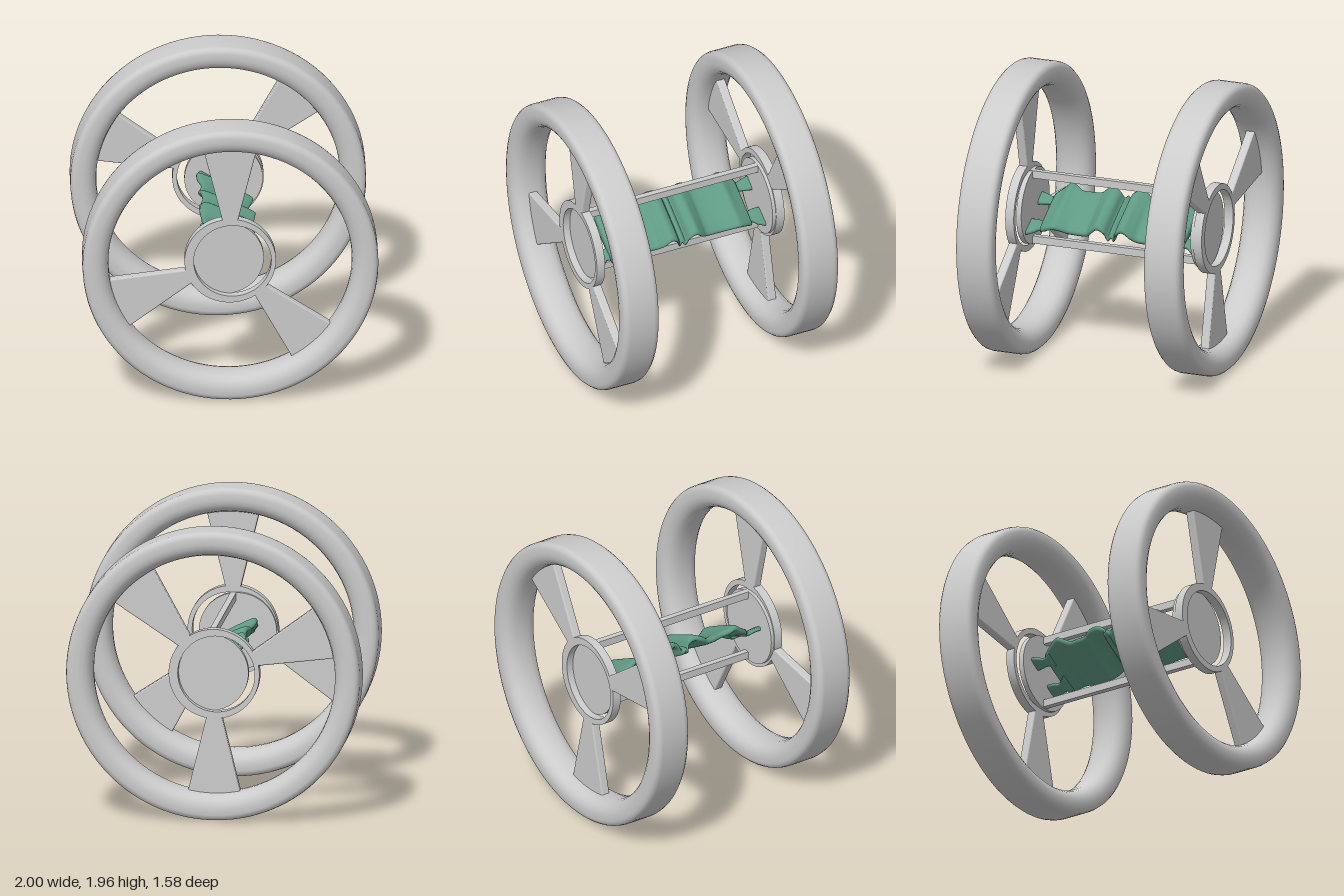
import * as THREE from 'three';

const grey = new THREE.MeshStandardMaterial({ color: 0xcccccc });
const green = new THREE.MeshStandardMaterial({ color: 0x5f9a84 });
const HUB_Y = 0.98;

function add(parent, name, geometry, material = grey) {
  const mesh = new THREE.Mesh(geometry, material);
  mesh.name = name;
  parent.add(mesh);
  return mesh;
}

// Tyre: flat tread, softly rounded shoulders, rounder inner edge
function tyreGeometry() {
  const half = [[0.98, 0], [0.98, 0.085], [0.975, 0.107], [0.962, 0.122], [0.94, 0.13], [0.9, 0.13],
    [0.87, 0.124], [0.842, 0.108], [0.822, 0.083], [0.81, 0.048], [0.806, 0]];
  const back = half.slice(0, -1).reverse().map(([r, z]) => [r, -z]);
  const points = [...half, ...back].map(([r, z]) => new THREE.Vector2(r, z));
  return new THREE.LatheGeometry(points, 96).rotateX(Math.PI / 2);
}

// Wedge spoke with softened edges, pointing along +x
function spokeGeometry(outerHalf) {
  const b = 0.01;
  const s = new THREE.Shape();
  s.moveTo(0.28, -0.048 + b);
  s.lineTo(0.815, -outerHalf + b);
  s.lineTo(0.815, outerHalf - b);
  s.lineTo(0.28, 0.048 - b);
  s.closePath();
  return new THREE.ExtrudeGeometry(s, {
    depth: 0.04, bevelSize: b, bevelThickness: b, bevelSegments: 3,
  }).translate(0, 0, -0.02);
}

// Hub ring with an off-centre hole
function hubRingGeometry() {
  const s = new THREE.Shape().absarc(0, 0, 0.303, 0, Math.PI * 2);
  s.holes.push(new THREE.Path().absarc(0.015, 0, 0.257, 0, Math.PI * 2, true));
  return new THREE.ExtrudeGeometry(s, { depth: 0.06, bevelEnabled: false, curveSegments: 64 })
    .translate(0, 0, -0.03);
}

// One wheel; side = 1 front, -1 back
function wheel(side) {
  const g = new THREE.Group();
  g.name = side > 0 ? 'frontWheel' : 'backWheel';
  add(g, 'tyre', tyreGeometry());
  for (const [deg, half] of [[90, 0.18], [202, 0.19], [312.5, 0.182]]) {
    add(g, 'spoke', spokeGeometry(half)).rotation.z = side * THREE.MathUtils.degToRad(deg);
  }
  const ring = add(g, 'hubRing', hubRingGeometry());
  if (side < 0) ring.rotation.y = Math.PI;
  const disc = add(g, 'hubDisc', new THREE.CylinderGeometry(0.26, 0.26, 0.035, 64).rotateX(Math.PI / 2));
  disc.position.set(-0.036 * side, 0, -0.035 * side);
  g.position.set(0.02 * side, HUB_Y, 0.66 * side);
  return g;
}

// Loft of flattened oval sections along z; each row is
// [z, upper edge x, upper edge y, lower edge x, lower edge y]
function sheetGeometry(rows, steps, thick) {
  const upper = new THREE.CatmullRomCurve3(rows.map(([z, x, y]) => new THREE.Vector3(x, y, z)));
  const lower = new THREE.CatmullRomCurve3(rows.map(([z, , , x, y]) => new THREE.Vector3(x, y, z)));
  const n = 20, pos = [], index = [];
  for (let i = 0; i <= steps; i++) {
    const a = upper.getPoint(i / steps), b = lower.getPoint(i / steps);
    const mid = a.clone().add(b).multiplyScalar(0.5);
    const u = b.clone().sub(mid);
    const normal = new THREE.Vector3(-u.y, u.x, 0).normalize();
    for (let j = 0; j < n; j++) {
      const t = (j / n) * Math.PI * 2, c = Math.cos(t), s = Math.sin(t);
      const p = mid.clone()
        .addScaledVector(u, Math.sign(c) * Math.sqrt(Math.abs(c)))
        .addScaledVector(normal, thick * Math.sign(s) * Math.sqrt(Math.abs(s)));
      pos.push(p.x, p.y, p.z);
      if (i < steps) {
        const k = i * n + j, m = i * n + (j + 1) % n;
        index.push(k, m, m + n, k, m + n, k + n);
      }
    }
  }
  for (let j = 1; j < n - 1; j++) {
    const e = steps * n;
    index.push(0, j + 1, j, e, e + j, e + j + 1);
  }
  const g = new THREE.BufferGeometry();
  g.setAttribute('position', new THREE.Float32BufferAttribute(pos, 3));
  g.setIndex(index);
  g.computeVertexNormals();
  return g;
}

// Wavy tilted sheet between the hubs, with two small tabs at each end
function rippledSheet() {
  const g = new THREE.Group();
  g.name = 'rippledSheet';
  const half = [
    [0, -0.165, 1.07, 0.175, 0.89], [0.02, -0.16, 1.055, 0.18, 0.87], [0.045, -0.14, 1.1, 0.2, 0.925],
    [0.09, -0.15, 1.12, 0.21, 0.95], [0.14, -0.165, 1.105, 0.195, 0.91], [0.18, -0.155, 1.075, 0.165, 0.88],
    [0.25, -0.15, 1.07, 0.16, 0.875], [0.31, -0.14, 1.075, 0.165, 0.88], [0.36, -0.165, 1.095, 0.19, 0.9],
    [0.4, -0.17, 1.11, 0.205, 0.91], [0.45, -0.165, 1.07, 0.19, 0.895], [0.505, -0.14, 1.03, 0.165, 0.87],
  ];
  const mirrored = half.slice(1).reverse().map(([z, ...r]) => [-z, ...r]);
  add(g, 'sheet', sheetGeometry([...mirrored, ...half], 110, 0.025), green);
  const upperTab = [[0.47, -0.14, 1.035, -0.05, 0.98], [0.52, -0.135, 1.01, -0.08, 0.975],
    [0.56, -0.14, 1.02, -0.07, 0.975], [0.615, -0.15, 1.03, -0.06, 0.975]];
  const lowerTab = [[0.47, 0.03, 0.945, 0.16, 0.875], [0.52, 0.045, 0.895, 0.12, 0.865],
    [0.56, 0.04, 0.9, 0.15, 0.85], [0.615, 0.04, 0.9, 0.17, 0.835]];
  for (const tab of [upperTab, lowerTab]) {
    add(g, 'sheetTab', sheetGeometry(tab, 14, 0.015), green);
    const back = tab.map(([z, ...r]) => [-z, ...r]).reverse();
    add(g, 'sheetTab', sheetGeometry(back, 14, 0.015), green);
  }
  return g;
}

export function createModel() {
  const model = new THREE.Group();
  model.name = 'wheelPair';
  model.add(wheel(1), wheel(-1));
  // Two square bars joining the hubs
  for (const [name, y] of [['upperBar', 1.213], ['lowerBar', 0.755]]) {
    add(model, name, new THREE.BoxGeometry(0.04, 0.052, 1.25)).position.set(0.015, y, 0);
  }
  model.add(rippledSheet());
  return model;
}
